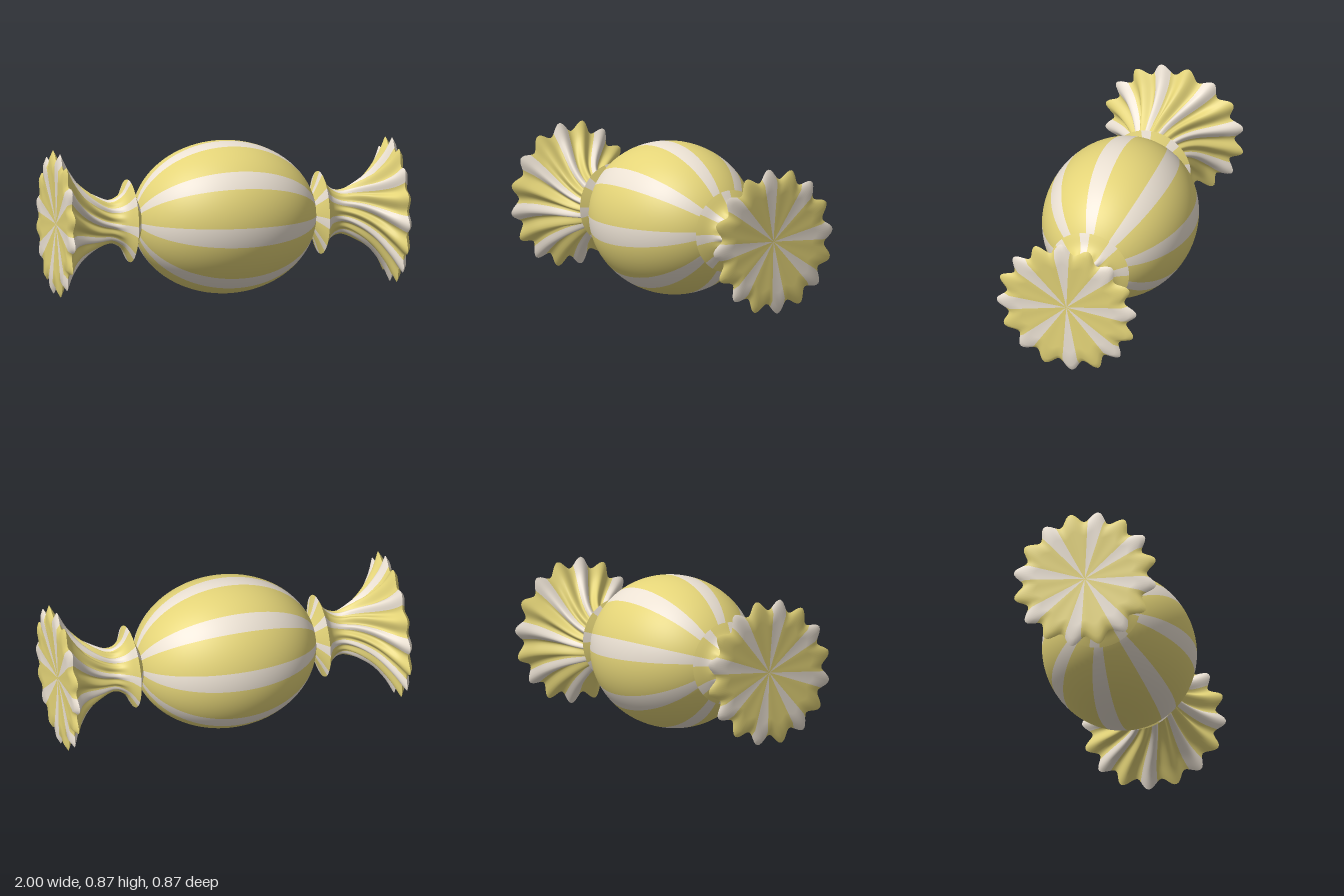
import * as THREE from 'three';

const N = 192;              // columns around the axis
const COLS = N / 8;         // columns per stripe pair
const CENTRE_Y = 0.437;
const TWIST = 0.73;         // swirl of the wrapper ends at the rim
const STRIPE_MID = Math.PI / 24;

const yellow = new THREE.MeshStandardMaterial({ color: 0xe4d478, side: THREE.DoubleSide });
const cream = new THREE.MeshStandardMaterial({ color: 0xebe1d3, side: THREE.DoubleSide });

// Striped surface around the x axis. Each ring: { x, r, fold, twist }.
function stripedSurface(name, rings, side = 1) {
  const pos = [], all = [], parts = [[], []];
  for (const { x, r, fold = 0, twist = 0 } of rings) {
    for (let j = 0; j < N; j++) {
      const a = (j / N) * Math.PI * 2;
      const radius = r + fold * Math.cos(16 * (a - STRIPE_MID));
      const b = a + side * twist;
      pos.push(side * x, CENTRE_Y + radius * Math.cos(b), radius * Math.sin(b));
    }
  }
  for (let i = 0; i < rings.length - 1; i++) {
    for (let j = 0; j < N; j++) {
      const k = (j + 1) % N;
      const a = i * N + j, b = i * N + k, c = a + N, d = b + N;
      const quad = side > 0 ? [a, b, c, b, d, c] : [a, c, b, b, c, d];
      all.push(...quad);
      parts[j % COLS < COLS / 3 ? 1 : 0].push(...quad);
    }
  }
  // Normals come from the whole surface so stripes shade as one skin
  const whole = new THREE.BufferGeometry();
  whole.setAttribute('position', new THREE.Float32BufferAttribute(pos, 3));
  whole.setIndex(all);
  whole.computeVertexNormals();

  const group = new THREE.Group();
  group.name = name;
  parts.forEach((index, p) => {
    const g = new THREE.BufferGeometry();
    g.setAttribute('position', whole.attributes.position);
    g.setAttribute('normal', whole.attributes.normal);
    g.setIndex(index);
    const mesh = new THREE.Mesh(g, p ? cream : yellow);
    mesh.name = name + (p ? 'CreamStripes' : 'YellowStripes');
    group.add(mesh);
  });
  return group;
}

export function createModel() {
  const model = new THREE.Group();
  model.name = 'wrappedCandy';

  // Rounded candy body
  const body = [];
  const end = Math.asin(0.512 / 0.53);
  for (let i = 0; i <= 40; i++) {
    const t = -end + (2 * end * i) / 40;
    body.push({ x: 0.53 * Math.sin(t), r: 0.435 * Math.cos(t) });
  }
  model.add(stripedSurface('body', body));

  // Flaring wrapper end: radius, fold depth and swirl grow towards the rim
  const flare = new THREE.CatmullRomCurve3([
    [0.56, 0.235], [0.605, 0.155], [0.67, 0.12], [0.75, 0.14],
    [0.85, 0.2], [0.93, 0.295], [0.98, 0.388],
  ].map(([x, r]) => new THREE.Vector3(x, r, 0)));
  const tail = flare.getPoints(36).map(({ x, y }) => {
    const t = THREE.MathUtils.clamp((x - 0.6) / 0.38, 0, 1);
    return { x, r: y, fold: 0.03 * t, twist: TWIST * THREE.MathUtils.smoothstep(t, 0, 1) };
  });

  // Gathered end face, slightly dished
  const cap = [
    [0.98, 0.388, 0.03], [1, 0.352, 0.028], [0.997, 0.28, 0.016],
    [0.992, 0.17, 0.006], [0.988, 0.08, 0.001], [0.986, 0, 0],
  ].map(([x, r, fold]) => ({ x, r, fold, twist: TWIST }));

  for (const side of [1, -1]) {
    const wrapper = new THREE.Group();
    wrapper.name = side > 0 ? 'leftWrapperEnd' : 'rightWrapperEnd';
    wrapper.add(
      stripedSurface('collar', [{ x: 0.512, r: 0.11 }, { x: 0.535, r: 0.165 }, { x: 0.56, r: 0.235 }], side),
      stripedSurface('tail', tail, side),
      stripedSurface('endFace', cap, side),
    );
    model.add(wrapper);
  }
  return model;
}
